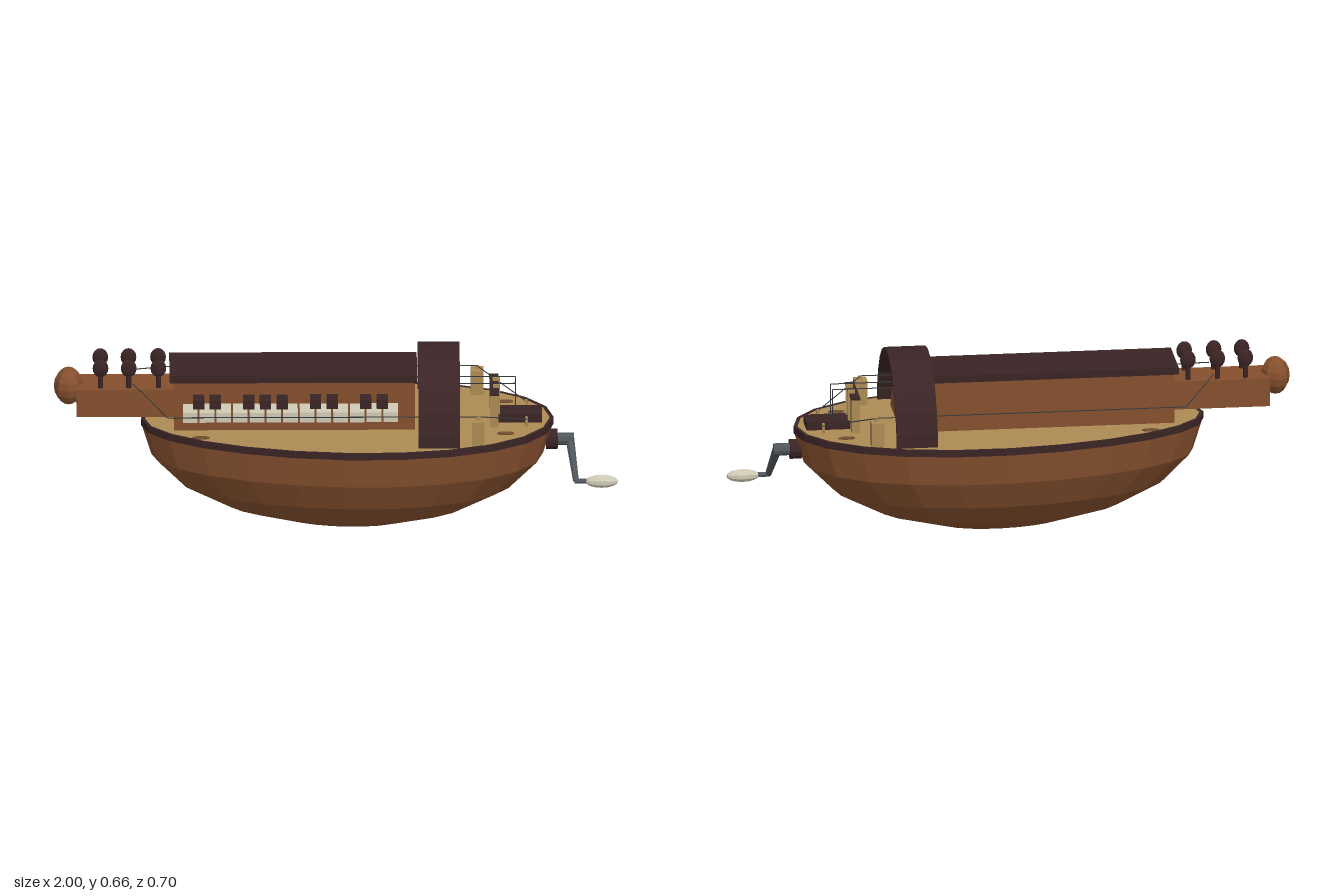
import * as THREE from 'three';

const mat = (name, color) => {
  const m = new THREE.MeshStandardMaterial({ color });
  m.name = name;
  return m;
};

export function createModel() {
  const model = new THREE.Group();
  const wood = mat('red brown wood', 0x85502e);
  const dark = mat('dark wood', 0x3a2425);
  const spruce = mat('pale wood', 0xac8b54);
  const ivory = mat('ivory', 0xcfcab5);
  const steel = mat('steel', 0x50575c);
  const stringMat = mat('string', 0x343a3c);
  const holeMat = mat('sound hole', 0x6e4c2c);

  // Helpers: faceted geometry, named meshes, boxes given by their limits, rods
  const flat = (g) => {
    const f = g.index ? g.toNonIndexed() : g;
    f.computeVertexNormals();
    return f;
  };
  const add = (name, geo, m, x = 0, y = 0, z = 0, parent = model) => {
    const mesh = new THREE.Mesh(geo, m);
    mesh.name = name;
    mesh.position.set(x, y, z);
    parent.add(mesh);
    return mesh;
  };
  const box = (name, m, x0, x1, y0, y1, z0, z1, parent) =>
    add(name, new THREE.BoxGeometry(x1 - x0, y1 - y0, z1 - z0), m,
      (x0 + x1) / 2, (y0 + y1) / 2, (z0 + z1) / 2, parent);
  const rod = (name, m, a, b, r0, r1 = r0, sides = 8, parent = model) => {
    const p = new THREE.Vector3(...a), q = new THREE.Vector3(...b);
    const d = q.clone().sub(p);
    const mesh = add(name, flat(new THREE.CylinderGeometry(r1, r0, d.length(), sides)), m, 0, 0, 0, parent);
    mesh.position.copy(p).add(q).multiplyScalar(0.5);
    mesh.quaternion.setFromUnitVectors(new THREE.Vector3(0, 1, 0), d.normalize());
    return mesh;
  };
  const stringPath = (name, pts) => {
    const g = new THREE.Group();
    g.name = name;
    for (let i = 1; i < pts.length; i++) rod('string', stringMat, pts[i - 1], pts[i], 0.002, 0.002, 5, g);
    model.add(g);
  };

  // Egg-shaped outline shared by hull, rim and soundboard
  const egg = (s) => Array.from({ length: 24 }, (_, i) => {
    const a = (i / 24) * Math.PI * 2, c = Math.cos(a);
    return new THREE.Vector2(0.04 + 0.73 * s * c, 0.35 * s * Math.sin(a) * (1 + 0.12 * c));
  });
  const slab = (shape, depth) => flat(new THREE.ExtrudeGeometry(shape, { depth, bevelEnabled: false }).rotateX(-Math.PI / 2));

  // Bowl: lower half of a sphere pulled to the egg outline
  const bowl = new THREE.SphereGeometry(1, 24, 5, 0, Math.PI * 2, Math.PI / 2, Math.PI / 2);
  const p = bowl.attributes.position;
  for (let i = 0; i < p.count; i++) {
    const x = p.getX(i), z = p.getZ(i), r = Math.hypot(x, z) || 1;
    p.setXYZ(i, 0.04 + 0.73 * x, 0.37 + 0.37 * p.getY(i), 0.35 * z * (1 + 0.12 * x / r));
  }
  add('bowl', flat(bowl), wood);

  const rimShape = new THREE.Shape(egg(1.002));
  rimShape.holes.push(new THREE.Path(egg(0.985)));
  add('rim', slab(rimShape, 0.026), dark, 0, 0.366, 0);
  add('soundboard', slab(new THREE.Shape(egg(0.987)), 0.02), spruce, 0, 0.369, 0);
  for (const [x, z] of [[-0.48, 0.19], [-0.48, -0.19], [0.6, 0.155], [0.6, -0.155]]) {
    add('soundHole', new THREE.CylinderGeometry(0.03, 0.03, 0.004, 16), holeMat, x, 0.39, z).scale.z = 0.5;
  }

  // Key box with lid and keyboard
  box('keyBox', wood, -0.575, 0.28, 0.385, 0.57, -0.113, 0.113);
  box('keyBoxLid', dark, -0.59, 0.287, 0.569, 0.595, -0.117, 0.117);
  for (let i = 0; i < 13; i++) {
    const x = -0.518 + i * 0.0592;
    box('whiteKey', ivory, x - 0.026, x + 0.026, 0.453, 0.49, 0.1, 0.203);
    if (![2, 6, 9, 12].includes(i)) box('blackKey', dark, x + 0.01, x + 0.05, 0.491, 0.525, 0.1, 0.172);
  }

  // Peg box, round head and tuning pegs
  box('pegBox', wood, -0.92, -0.57, 0.426, 0.53, -0.077, 0.077);
  add('head', flat(new THREE.SphereGeometry(0.067, 8, 8)), wood, -0.948, 0.517, 0).scale.x = 0.78;
  for (const x of [-0.835, -0.735, -0.63]) for (const z of [-0.055, 0.055]) {
    rod('pegShaft', dark, [x, 0.5, z], [x, 0.6, z], 0.009);
    add('pegKnob', flat(new THREE.SphereGeometry(0.028, 10, 8)), dark, x, 0.603, z).scale.set(1, 1.2, 0.5);
  }

  // Wheel and its arched guard
  rod('wheel', wood, [0.325, 0.308, 0], [0.4, 0.308, 0], 0.225, 0.225, 24);
  const arch = [];
  for (let i = 0; i <= 12; i++) arch.push([Math.cos(i * Math.PI / 12), Math.sin(i * Math.PI / 12)]);
  const archShape = new THREE.Shape([
    ...arch.map(([c, s]) => new THREE.Vector2(0.3 * c, 0.3 * s)),
    ...arch.reverse().map(([c, s]) => new THREE.Vector2(0.286 * c, 0.286 * s)),
  ]);
  const guard = new THREE.ExtrudeGeometry(archShape, { depth: 0.147, bevelEnabled: false });
  add('wheelGuard', flat(guard.rotateY(Math.PI / 2)), dark, 0.291, 0.36, 0);

  // Main bridge, tailpiece and side bridges
  box('bridge', spruce, 0.546, 0.575, 0.385, 0.511, -0.095, 0.095);
  box('bridgeCap', dark, 0.544, 0.577, 0.511, 0.518, -0.098, 0.098);
  box('tailpiece', dark, 0.575, 0.73, 0.385, 0.419, -0.047, 0.047);
  for (const s of [-1, 1]) {
    box('bridgePost', spruce, 0.556, 0.582, 0.41, 0.53, s * 0.033 - 0.006, s * 0.033 + 0.006);
    box('sideBridge', spruce, 0.48, 0.525, 0.385, 0.478, s * 0.248 - 0.027, s * 0.248 + 0.027);
    box('sideBridgeNotch', spruce, 0.495, 0.51, 0.478, 0.49, s * 0.248 - 0.004, s * 0.248 + 0.004);
    rod('stringPin', spruce, [0.675, 0.385, s * 0.083], [0.675, 0.425, s * 0.083], 0.005);
    stringPath('melodyString', [[0.28, 0.533, s * 0.033], [0.636, 0.533, s * 0.033], [0.636, 0.415, s * 0.033]]);
    stringPath('droneString', [[-0.72, 0.55, s * 0.07], [-0.6, 0.49, s * 0.248],
      [0.502, 0.49, s * 0.248], [0.68, 0.415, s * 0.083]]);
  }

  // Crank
  const crank = new THREE.Group();
  crank.name = 'crank';
  model.add(crank);
  rod('crankHub', dark, [0.745, 0.308, 0], [0.786, 0.308, 0], 0.036, 0.036, 12, crank);
  rod('crankShaft', steel, [0.77, 0.308, 0], [0.843, 0.308, 0], 0.022, 0.022, 10, crank);
  rod('crankArm', steel, [0.828, 0.318, -0.005], [0.85, 0.186, 0.098], 0.017, 0.011, 8, crank);
  rod('crankPin', steel, [0.845, 0.185, 0.098], [0.9, 0.185, 0.098], 0.009, 0.009, 8, crank);
  const knob = flat(new THREE.SphereGeometry(0.024, 10, 8).rotateZ(Math.PI / 2));
  add('crankHandle', knob, ivory, 0.941, 0.184, 0.098, crank).scale.x = 2.45;

  return model;
}
